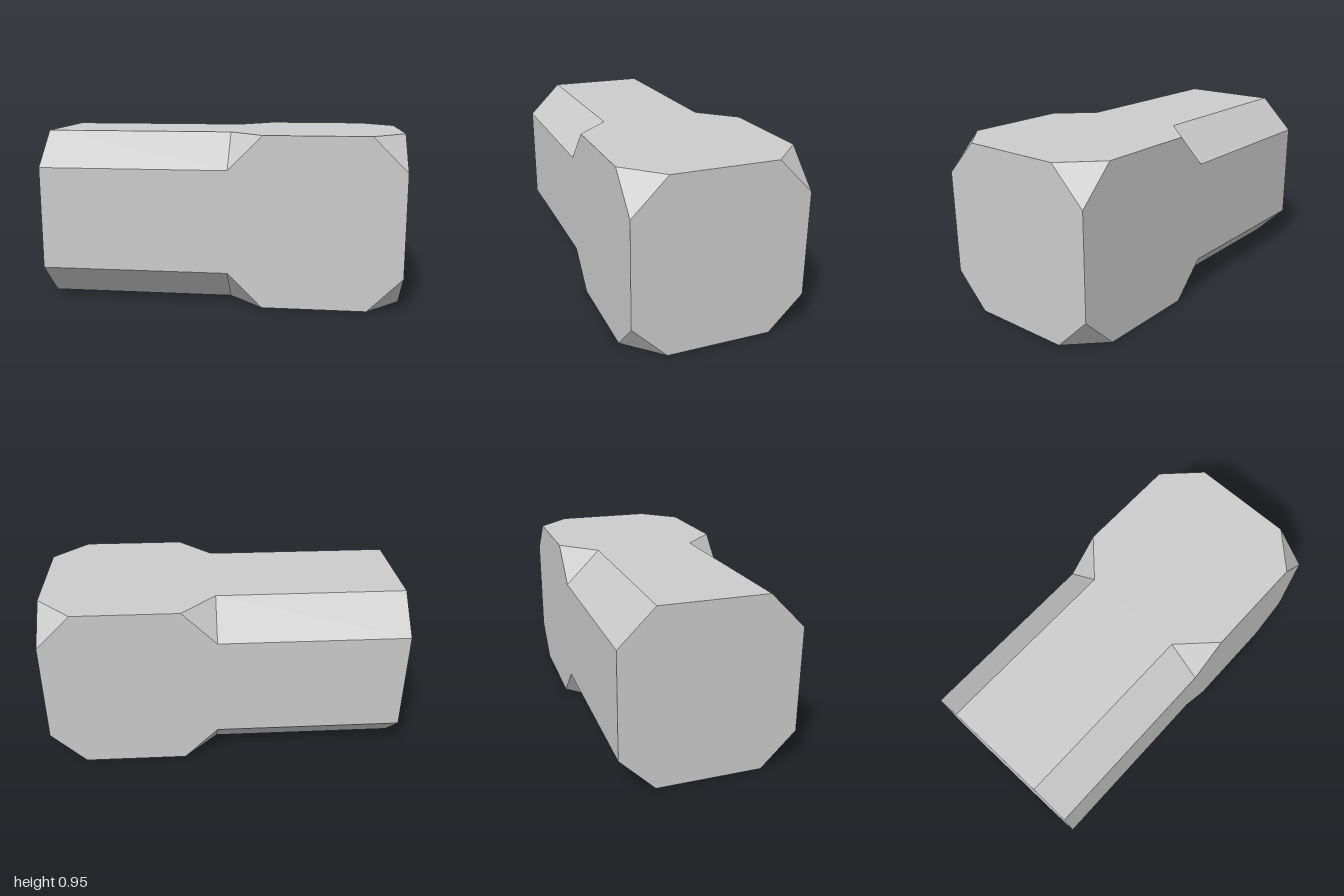
import * as THREE from 'three';

const HALF = 10 / 21; // half width of the square bar
const CUT = 4 / 21;   // chamfer size

// Octagonal section at x; a zero cut collapses it to a sharp square.
function section(x, cut) {
  const ring = [];
  const inner = HALF - cut;
  // one corner pair per quarter turn, running from +y towards +z
  for (let q = 0; q < 4; q++) {
    const c = [1, 0, -1, 0][q], s = [0, 1, 0, -1][q];
    for (const [y, z] of [[HALF, inner], [inner, HALF]]) {
      ring.push(new THREE.Vector3(x, y * c - z * s + HALF, y * s + z * c));
    }
  }
  return ring;
}

// Skin the sections and close both ends, dropping collapsed triangles.
function loft(sections) {
  const points = [];
  const tri = (a, b, c) => {
    if (new THREE.Triangle(a, b, c).getArea() > 1e-7) points.push(a, b, c);
  };
  for (let i = 0; i < sections.length - 1; i++) {
    const p = sections[i], n = sections[i + 1];
    for (let k = 0; k < 8; k++) {
      const m = (k + 1) % 8;
      tri(p[k], p[m], n[m]);
      tri(p[k], n[m], n[k]);
    }
  }
  const first = sections[0], last = sections[sections.length - 1];
  for (let k = 1; k < 7; k++) {
    tri(first[0], first[k + 1], first[k]);
    tri(last[0], last[k], last[k + 1]);
  }
  const geometry = new THREE.BufferGeometry().setFromPoints(points);
  geometry.computeVertexNormals();
  return geometry;
}

export function createModel() {
  const grey = new THREE.MeshStandardMaterial({ color: 0xcccccc, flatShading: true });
  grey.name = 'light grey';

  // Chamfered shaft on the left, square head with clipped corners on the right
  const bar = new THREE.Mesh(loft([
    section(-1, CUT),
    section(1 / 21, CUT),
    section(5 / 21, 0),
    section(17 / 21, 0),
    section(1, CUT),
  ]), grey);
  bar.name = 'chamferedBar';

  const group = new THREE.Group();
  group.name = 'chamferedBlock';
  group.add(bar);
  return group;
}
